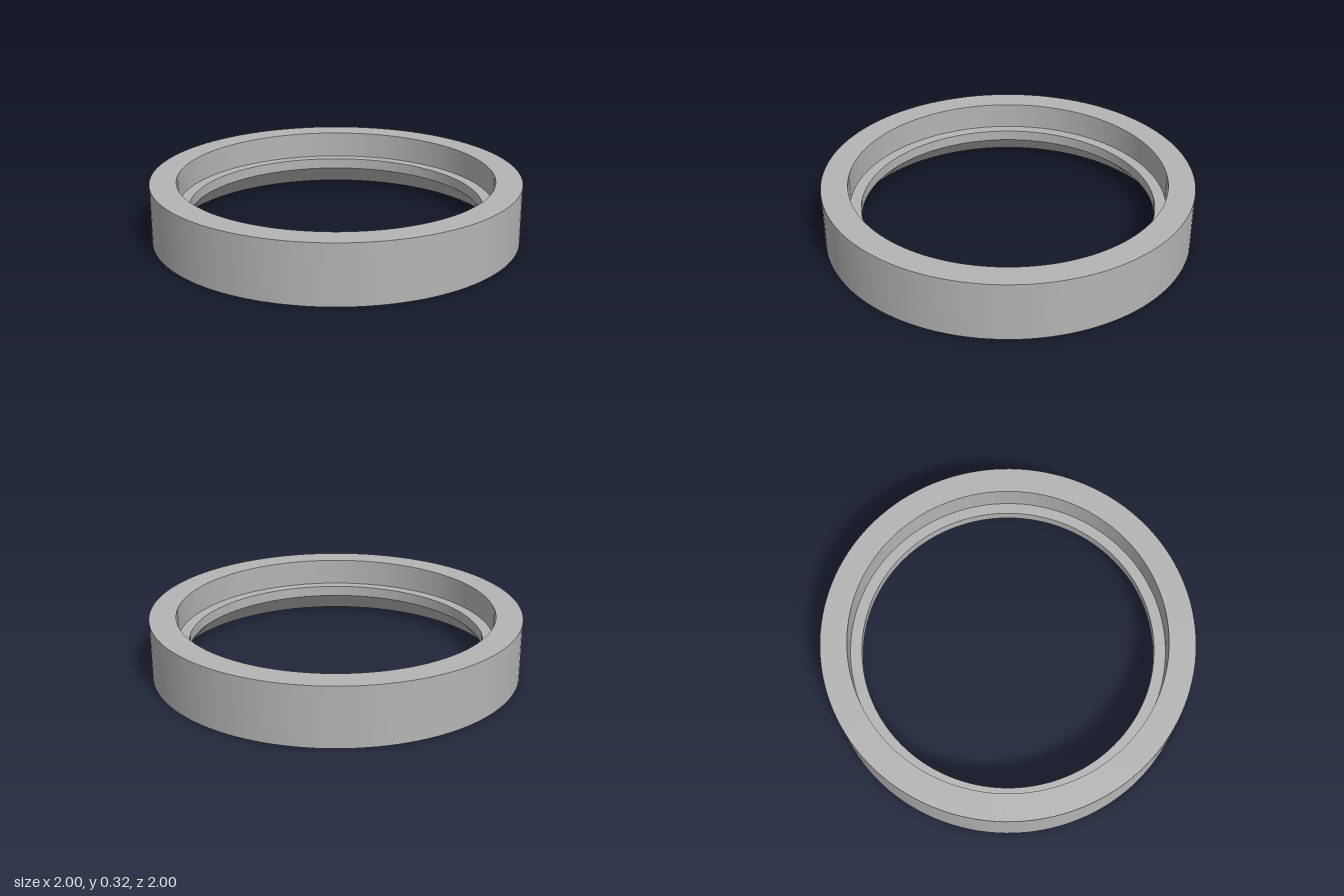
import * as THREE from 'three';
import { toCreasedNormals } from 'three/addons/utils/BufferGeometryUtils.js';

export function createModel() {
  const model = new THREE.Group();
  model.name = 'steppedRing';
  const grey = new THREE.MeshStandardMaterial({ color: 0xb4b4b4 });
  grey.name = 'grey';

  // Closed cross-section (radius, height), counter-clockwise so faces point outward
  const profile = [
    [0.905, 0],     // chamfer foot
    [1, 0],         // outer wall
    [1, 0.32],
    [0.857, 0.32],  // top rim
    [0.857, 0.173], // recess wall
    [0.795, 0.173], // ledge
    [0.795, 0.114], // bore, then flared chamfer
    [0.905, 0],
  ].map(([r, y]) => new THREE.Vector2(r, y));

  // Smooth around the ring, sharp at the profile corners
  const geometry = toCreasedNormals(new THREE.LatheGeometry(profile, 128), Math.PI / 6);
  const ring = new THREE.Mesh(geometry, grey);
  ring.name = 'ringBody';
  model.add(ring);
  return model;
}
